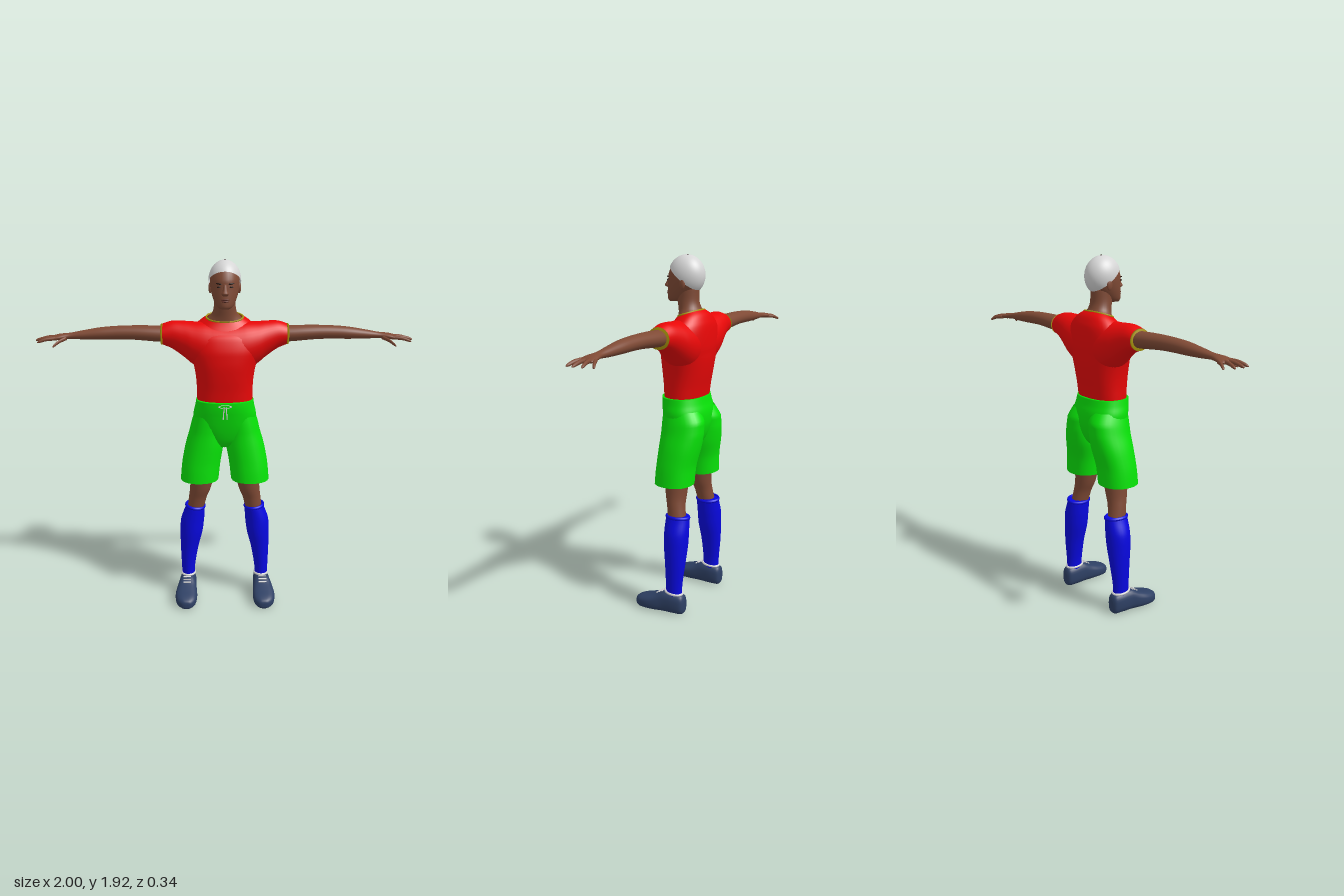
import * as THREE from 'three';

const mat = (name, color, side = THREE.FrontSide) => {
  const m = new THREE.MeshStandardMaterial({ color, side });
  m.name = name;
  return m;
};

// Axis -> component index of [along, u, v], with u x v = along
const AXES = { x: [0, 1, 2], y: [1, 2, 0], z: [2, 0, 1] };

// Smooth skin through sections [along, u, v, ru, rv, tilt], listed in ascending order
function loft(axis, sections, { n = 28, steps = 5, power = 2, capped = true, floor = -9 } = {}) {
  const at = (i) => sections[Math.min(sections.length - 1, Math.max(0, i))];
  const rings = [];
  for (let i = 0; i < sections.length - 1; i++) {
    const last = i === sections.length - 2;
    for (let s = 0; s < steps + (last ? 1 : 0); s++) {
      const t = s / steps;
      rings.push([0, 1, 2, 3, 4, 5].map((k) => {
        const [a, b, c, d] = [at(i - 1), at(i), at(i + 1), at(i + 2)].map((q) => q[k] || 0);
        const v = b + 0.5 * t * (c - a + t * (2 * a - 5 * b + 4 * c - d + t * (3 * (b - c) + d - a)));
        return Math.min(Math.max(b, c), Math.max(Math.min(b, c), v));
      }));
    }
  }
  const [A, U, V] = AXES[axis], pos = [], index = [];
  const put = (a, u, v) => {
    const p = [0, 0, 0];
    p[A] = a; p[U] = u; p[V] = v;
    pos.push(p[0], Math.max(floor, p[1]), p[2]);
  };
  const round = (c) => Math.sign(c) * Math.abs(c) ** (2 / power);
  for (const [a, u, v, ru, rv, tilt] of rings) {
    for (let j = 0; j < n; j++) {
      const th = (j / n) * Math.PI * 2, du = ru * round(Math.cos(th));
      put(a + tilt * du, u + du, v + rv * round(Math.sin(th)));
    }
  }
  for (let i = 0; i < rings.length - 1; i++) {
    for (let j = 0; j < n; j++) {
      const k = (j + 1) % n, p = i * n, q = p + n;
      index.push(p + j, p + k, q + k, p + j, q + k, q + j);
    }
  }
  if (capped) {
    const end = rings.length - 1, first = rings.length * n;
    put(...rings[0]);
    put(...rings[end]);
    for (let j = 0; j < n; j++) {
      const k = (j + 1) % n;
      index.push(first, k, j, first + 1, end * n + j, end * n + k);
    }
  }
  const g = new THREE.BufferGeometry();
  g.setAttribute('position', new THREE.Float32BufferAttribute(pos, 3));
  g.setIndex(index);
  g.computeVertexNormals();
  return g;
}

// Copy reflected to the other side of x = 0
function mirrored(geometry) {
  const g = geometry.clone().scale(-1, 1, 1), ix = g.index.array;
  for (let i = 0; i < ix.length; i += 3) [ix[i], ix[i + 1]] = [ix[i + 1], ix[i]];
  g.computeVertexNormals();
  return g;
}

const ball = (x, y, z, rx, ry, rz) =>
  new THREE.SphereGeometry(1, 20, 14).scale(rx, ry, rz).translate(x, y, z);

// Upright section from its front and back limits: y, half width, front z, back z
const slab = ([y, rx, front, back, tilt = 0]) => [y, (front + back) / 2, 0, (front - back) / 2, rx, tilt];

export function createModel() {
  const root = new THREE.Group();
  root.name = 'footballer';
  const skin = mat('skin brown', 0x7f4a35);
  const white = mat('cap white', 0xd6d6d6, THREE.DoubleSide);
  const red = mat('shirt red', 0xf00808, THREE.DoubleSide);
  const green = mat('shorts green', 0x08e408, THREE.DoubleSide);
  const blue = mat('sock blue', 0x0808e0, THREE.DoubleSide);
  const navy = mat('shoe navy', 0x2e4064);
  const gold = mat('trim gold', 0xa8940c);
  const dark = mat('feature dark', 0x24150f);
  const lip = mat('lip brown', 0x5e2f26);

  const add = (name, geometry, material) => {
    const m = new THREE.Mesh(geometry, material);
    m.name = name;
    root.add(m);
  };
  const pair = (name, geometry, material) => {
    add('left' + name, geometry, material);
    add('right' + name, mirrored(geometry), material);
  };

  // Head and neck
  add('head', loft('y', [
    [1.68, 0.026, 0.088, 0.03], [1.695, 0.046, 0.096, -0.02], [1.735, 0.064, 0.094, -0.068],
    [1.78, 0.075, 0.09, -0.098], [1.82, 0.077, 0.087, -0.104], [1.87, 0.067, 0.064, -0.09],
    [1.902, 0.038, 0.03, -0.055], [1.91, 0.01, 0, -0.02],
  ].map(slab)), skin);
  add('neck', loft('y', [
    [1.585, 0.115, 0.025, -0.11, -0.3], [1.615, 0.092, 0.02, -0.1, -0.3],
    [1.645, 0.066, 0.024, -0.088, -0.2], [1.69, 0.056, 0.035, -0.08], [1.75, 0.055, 0.04, -0.08],
  ].map(slab)), skin);
  add('cap', new THREE.SphereGeometry(1, 36, 20, 0, Math.PI * 2, 0, 1.7)
    .rotateX(-0.657).scale(0.085, 0.105, 0.1).translate(0, 1.815, -0.013), white);
  add('capButton', ball(0, 1.919, -0.02, 0.006, 0.003, 0.006), dark);

  // Face
  add('nose', loft('y', [
    [1.748, 0.014, 0.1, 0.07], [1.76, 0.019, 0.119, 0.07], [1.775, 0.013, 0.111, 0.07], [1.805, 0.008, 0.093, 0.07],
  ].map(slab), { n: 14 }), skin);
  add('upperLip', ball(0, 1.729, 0.093, 0.022, 0.0045, 0.008), lip);
  add('lowerLip', ball(0, 1.72, 0.093, 0.019, 0.005, 0.008), lip);
  pair('Eye', ball(0.031, 1.791, 0.081, 0.011, 0.0045, 0.005), dark);
  pair('Brow', ball(0, 0, 0, 0.016, 0.004, 0.005).rotateZ(0.12).rotateY(0.35).translate(0.032, 1.808, 0.081), dark);
  pair('Ear', ball(0.076, 1.775, -0.028, 0.009, 0.028, 0.017), skin);

  // Shirt: body, then shoulders running out into open sleeves
  add('shirtBody', loft('y', [
    [1.175, 0.15, 0.086, -0.117], [1.24, 0.15, 0.09, -0.127], [1.31, 0.155, 0.097, -0.14],
    [1.38, 0.168, 0.101, -0.15], [1.45, 0.19, 0.097, -0.155], [1.52, 0.195, 0.076, -0.152],
    [1.565, 0.17, 0.048, -0.143, -0.12], [1.6, 0.13, 0.03, -0.123, -0.25], [1.62, 0.098, 0.02, -0.1, -0.33],
  ].map(slab), { n: 40, power: 2.3, capped: false }), red);
  const half = [
    [0.1, 1.465, -0.035, 0.132, 0.112], [0.17, 1.485, -0.04, 0.113, 0.1], [0.22, 1.507, -0.043, 0.094, 0.085],
    [0.28, 1.528, -0.045, 0.073, 0.069], [0.335, 1.531, -0.045, 0.053, 0.059],
  ];
  add('shirtShoulders', loft('x', [
    ...half.map(([x, ...r]) => [-x, ...r]).reverse(), [0, 1.46, -0.03, 0.13, 0.115], ...half,
  ], { n: 36, capped: false }), red);
  add('collarTrim', new THREE.TorusGeometry(1, 0.05, 8, 48).rotateX(Math.PI / 2)
    .scale(0.097, 0.1, 0.061).rotateX(0.32).translate(0, 1.622, -0.04), gold);
  pair('SleeveTrim', loft('x', [
    [0.328, 1.531, -0.045, 0.056, 0.062], [0.338, 1.531, -0.045, 0.054, 0.06],
  ], { steps: 1 }), gold);

  // Arms, palms and fingers
  pair('Arm', loft('x', [
    [0.28, 1.532, -0.045, 0.042, 0.05], [0.35, 1.533, -0.045, 0.042, 0.052], [0.42, 1.537, -0.045, 0.04, 0.05],
    [0.5, 1.54, -0.045, 0.037, 0.045], [0.58, 1.539, -0.045, 0.035, 0.041], [0.66, 1.535, -0.045, 0.032, 0.038],
    [0.75, 1.528, -0.045, 0.024, 0.029], [0.82, 1.523, -0.045, 0.016, 0.023], [0.87, 1.518, -0.045, 0.016, 0.037],
    [0.905, 1.513, -0.045, 0.012, 0.042], [0.918, 1.511, -0.045, 0.006, 0.036],
  ]), skin);
  const fingers = { // root x, y, z, then tip x, y, z
    Thumb: [0.835, 1.514, -0.028, 0.9, 1.478, 0.036],
    IndexFinger: [0.885, 1.514, -0.017, 0.985, 1.497, 0.004],
    MiddleFinger: [0.89, 1.514, -0.037, 1, 1.5, -0.04],
    RingFinger: [0.89, 1.514, -0.057, 0.985, 1.498, -0.08],
    LittleFinger: [0.88, 1.513, -0.074, 0.95, 1.493, -0.115],
  };
  for (const [name, [x, y, z, X, Y, Z]] of Object.entries(fingers)) {
    const knot = (t, r) => [x + (X - x) * t, y + (Y - y) * t + 0.006 * Math.sin(t * Math.PI), z + (Z - z) * t, r, r];
    pair(name, loft('x', [knot(0, 0.011), knot(0.5, 0.0095), knot(0.88, 0.0075), knot(1, 0.002)], { n: 12, steps: 4 }), skin);
  }

  // Shorts: seat and two open legs
  add('shortsSeat', loft('y', [
    [0.92, 0.035, 0.03, -0.09], [0.96, 0.11, 0.055, -0.12], [1.03, 0.165, 0.076, -0.143],
    [1.1, 0.17, 0.09, -0.145], [1.15, 0.16, 0.098, -0.133], [1.187, 0.154, 0.1, -0.125],
  ].map(slab), { n: 40, power: 2.3 }), green);
  pair('ShortsLeg', loft('y', [
    [0.725, -0.02, 0.14, 0.105, 0.105], [0.82, -0.025, 0.13, 0.105, 0.106], [0.92, -0.038, 0.112, 0.113, 0.105],
    [1, -0.046, 0.1, 0.117, 0.094], [1.06, -0.046, 0.091, 0.117, 0.088], [1.12, -0.03, 0.08, 0.1, 0.08],
  ], { power: 2.2, capped: false }), green);
  add('drawstringBow', new THREE.TorusGeometry(0.02, 0.003, 6, 20).scale(1.6, 0.4, 1).translate(0, 1.168, 0.101), white);
  pair('DrawstringEnd', new THREE.CylinderGeometry(0.003, 0.003, 0.07, 8).rotateZ(0.08).translate(0.008, 1.132, 0.102), white);

  // Legs and socks
  pair('Leg', loft('y', [
    [0.5, -0.055, 0.17, 0.05, 0.045], [0.6, -0.038, 0.153, 0.05, 0.05],
    [0.68, -0.028, 0.134, 0.06, 0.06], [0.85, -0.025, 0.115, 0.08, 0.075],
  ]), skin);
  pair('Sock', loft('y', [
    [0.09, -0.058, 0.212, 0.046, 0.036], [0.16, -0.058, 0.212, 0.047, 0.038], [0.28, -0.06, 0.204, 0.057, 0.05],
    [0.38, -0.058, 0.192, 0.066, 0.063], [0.46, -0.058, 0.184, 0.068, 0.066], [0.53, -0.056, 0.17, 0.066, 0.056],
    [0.552, -0.056, 0.166, 0.064, 0.052],
  ]), blue);
  pair('SockCuff', new THREE.TorusGeometry(1, 0.14, 8, 32).rotateX(Math.PI / 2)
    .scale(0.052, 0.07, 0.062).rotateZ(0.1).translate(0.167, 0.545, -0.056), blue);

  // Shoes: heel to toe, flat on the ground
  pair('Shoe', loft('z', [
    [-0.125, 0.212, 0.05, 0.016, 0.03], [-0.112, 0.212, 0.054, 0.036, 0.054], [-0.07, 0.213, 0.058, 0.046, 0.06],
    [-0.01, 0.216, 0.059, 0.05, 0.062], [0.04, 0.22, 0.047, 0.058, 0.05], [0.09, 0.222, 0.038, 0.062, 0.041],
    [0.14, 0.221, 0.03, 0.053, 0.033], [0.168, 0.219, 0.025, 0.03, 0.024], [0.175, 0.218, 0.023, 0.01, 0.01],
  ], { power: 2.7, floor: 0 }), navy);
  pair('ShoeLining', new THREE.TorusGeometry(1, 0.14, 8, 28).rotateX(Math.PI / 2)
    .scale(0.038, 0.05, 0.05).rotateX(-0.1).translate(0.212, 0.118, -0.056), white);
  for (let i = 0; i < 3; i++) {
    pair('Lace' + (i + 1), new THREE.BoxGeometry(0.045, 0.004, 0.006)
      .rotateX(0.4).translate(0.218, 0.118 - i * 0.009, 0.004 + i * 0.017), white);
  }
  return root;
}
